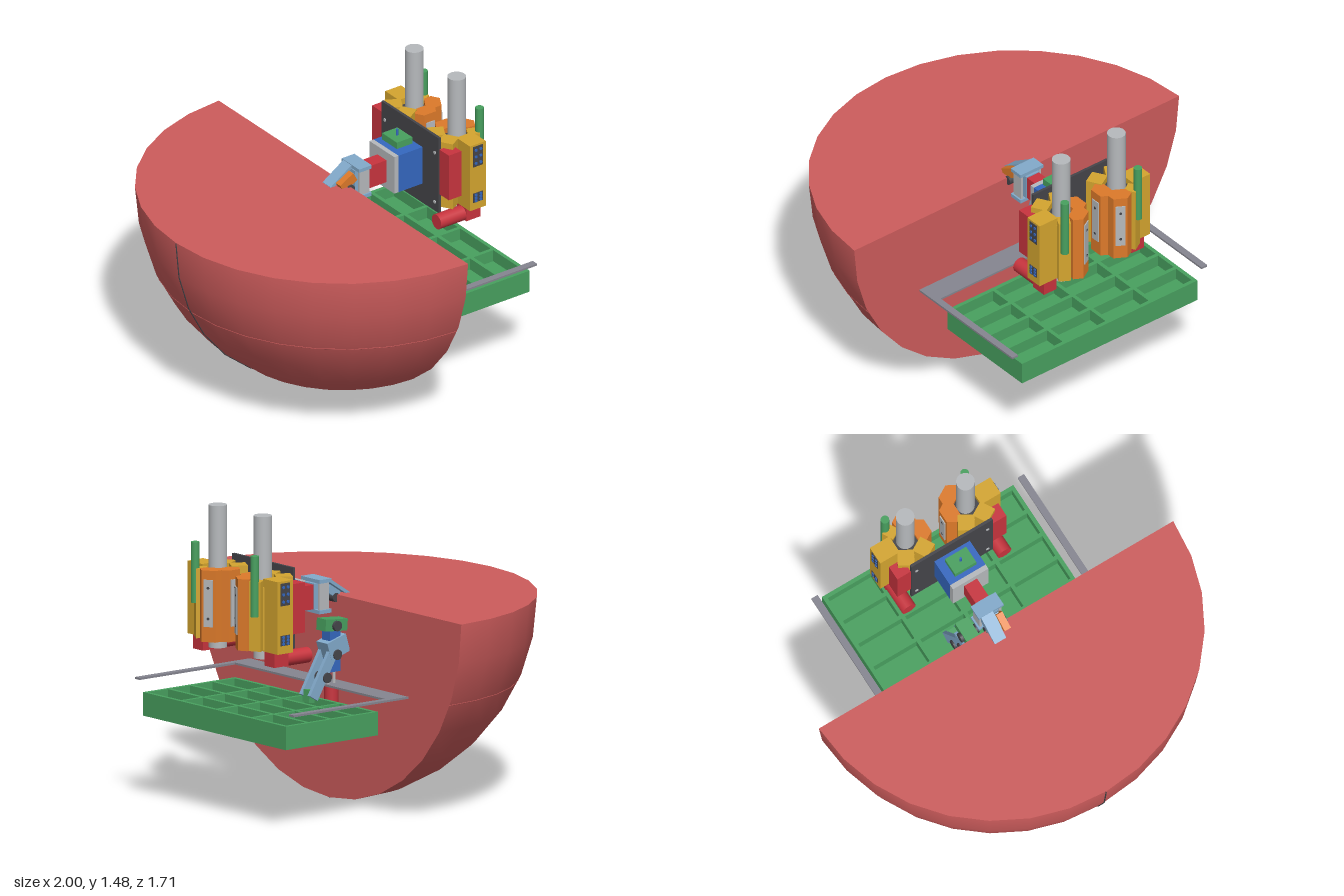
import * as THREE from 'three';

const mat = (name, color) => {
  const m = new THREE.MeshStandardMaterial({ color });
  m.name = name;
  return m;
};

export function createModel() {
  const root = new THREE.Group();
  root.name = 'harvestingStation';
  const shellRed = mat('shellRed', 0xcd5c5c), red = mat('red', 0xc8343e);
  const yellow = mat('yellow', 0xd4a52f), orange = mat('orange', 0xdd7a2a);
  const green = mat('green', 0x48a05f), blue = mat('blue', 0x3568c0);
  const paleBlue = mat('paleBlue', 0x82aacb), silver = mat('silver', 0xb6b9bc);
  const grey = mat('frameGrey', 0x868690), dark = mat('charcoal', 0x45454a);

  const add = (name, geo, m, parent = root) => {
    const mesh = new THREE.Mesh(geo, m);
    mesh.name = name;
    parent.add(mesh);
    return mesh;
  };
  // Box given by its extents on each axis
  const box = (name, m, [x0, x1], [y0, y1], [z0, z1], parent) => {
    const b = add(name, new THREE.BoxGeometry(x1 - x0, y1 - y0, z1 - z0), m, parent);
    b.position.set((x0 + x1) / 2, (y0 + y1) / 2, (z0 + z1) / 2);
    return b;
  };
  // Cylinder between two points
  const rod = (name, m, a, b, r, parent, sides = 24) => {
    const p = new THREE.Vector3(...a), q = new THREE.Vector3(...b);
    const c = add(name, new THREE.CylinderGeometry(r, r, p.distanceTo(q), sides), m, parent);
    c.position.copy(p).add(q).multiplyScalar(0.5);
    c.quaternion.setFromUnitVectors(new THREE.Vector3(0, 1, 0), q.sub(p).normalize());
    return c;
  };
  // Box tilted about the x axis
  const tilted = (name, m, size, pos, angle, parent) => {
    const b = add(name, new THREE.BoxGeometry(...size), m, parent);
    b.position.set(...pos);
    b.rotation.x = angle;
    return b;
  };

  // Quarter-sphere bowl with flat top and back
  const bowl = new THREE.Group();
  bowl.name = 'bowl';
  bowl.position.set(0, 1, -0.145);
  root.add(bowl);
  add('bowlShell', new THREE.SphereGeometry(1, 16, 8, 0, Math.PI, Math.PI / 2, Math.PI / 2), shellRed, bowl);
  const half = new THREE.CircleGeometry(1, 16, Math.PI, Math.PI);
  add('bowlTop', half.clone().rotateX(-Math.PI / 2), shellRed, bowl);
  add('bowlBack', half.clone().rotateY(Math.PI), shellRed, bowl);
  add('verticalSeam', new THREE.TorusGeometry(1, 0.004, 4, 8, Math.PI / 2)
    .rotateZ(-Math.PI / 2).rotateY(-Math.PI / 2), dark, bowl);
  add('levelSeam', new THREE.TorusGeometry(0.909, 0.003, 4, 16, Math.PI)
    .rotateX(Math.PI / 2), shellRed, bowl).position.y = -0.41;

  // U-shaped support frame
  box('frameFront', grey, [-0.6, 0.6], [0.575, 0.585], [-0.265, -0.146]);
  for (const s of [-1, 1]) {
    const x = 0.5825 * s;
    box('frameRail', grey, [x - 0.0175, x + 0.0175], [0.575, 0.585], [-0.855, -0.265]);
  }

  // Tray with a four by four grid of compartments
  box('trayFloor', green, [-0.54, 0.54], [0.405, 0.46], [-0.855, -0.285]);
  for (let i = 0; i <= 4; i++) {
    const x = -0.53 + i * 0.265, z = -0.845 + i * 0.1375;
    box('trayWallLong', green, [x - 0.01, x + 0.01], [0.45, 0.52], [-0.855, -0.285]);
    box('trayWallCross', green, [-0.54, 0.54], [0.45, 0.52], [z - 0.01, z + 0.01]);
  }

  // Two mirrored picking heads, each with modules around a column
  const wedge = new THREE.Shape();
  [[0.05, -0.035], [0.085, -0.06], [0.127, -0.035], [0.127, 0.035], [0.085, 0.06], [0.05, 0.035]]
    .forEach(([x, y], i) => (i ? wedge.lineTo(x, y) : wedge.moveTo(x, y)));
  const wedgeGeo = new THREE.ExtrudeGeometry(wedge, { depth: 0.35, bevelEnabled: false })
    .rotateX(-Math.PI / 2);
  for (const s of [-1, 1]) {
    const head = new THREE.Group();
    head.name = s > 0 ? 'leftHead' : 'rightHead';
    head.position.set(0.17 * s, 0, -0.695);
    root.add(head);
    rod('column', silver, [0, 0.78, 0], [0, 1.475, 0], 0.045, head, 32);
    rod('core', yellow, [0, 0.83, 0], [0, 1.14, 0], 0.085, head);
    rod('coreCap', dark, [0, 1.14, 0], [0, 1.148, 0], 0.075, head);
    // Module pointing outward at an angle, measured for the right head
    const module = (name, deg) => {
      const g = new THREE.Group();
      g.name = name;
      g.rotation.y = -THREE.MathUtils.degToRad(s < 0 ? deg : 180 - deg);
      head.add(g);
      return g;
    };
    for (const deg of [-60, 0]) {
      const g = module('orangeModule', deg);
      add('moduleBody', wedgeGeo, orange, g).position.y = 0.825;
      box('modulePlate', silver, [0.126, 0.132], [0.9, 1.13], [-0.024, 0.024], g);
      for (const y of [0.94, 1.09]) rod('screw', dark, [0.13, y, 0], [0.134, y, 0], 0.007, g, 10);
    }
    for (const deg of [60, 120]) {
      const g = module('yellowModule', deg);
      box('moduleBody', yellow, [0.06, 0.14], [0.825, 1.18], [-0.04, 0.04], g);
      for (const y of [0.9, 1.1]) rod('screw', dark, [0.138, y, 0], [0.143, y, 0], 0.009, g, 10);
    }
    // Large outer module with connector panels
    const g = module('outerModule', 180);
    box('moduleBody', yellow, [0.06, 0.17], [0.825, 1.18], [-0.047, 0.047], g);
    for (const [y, h] of [[1.115, 0.055], [0.89, 0.025]]) {
      box('connectorPanel', dark, [0.169, 0.173], [y - h, y + h], [-0.028, 0.028], g);
      for (const dz of [-0.014, 0.014]) for (const k of [-0.65, 0, 0.65])
        rod('connector', blue, [0.172, y + k * h, dz], [0.177, y + k * h, dz], 0.008, g, 8);
    }
    // Green canister and its bracket
    const c = module('canisterMount', 240);
    box('bracket', yellow, [0.05, 0.11], [0.83, 1.17], [-0.03, 0.03], c);
    rod('canister', green, [0.11, 1.0, 0], [0.11, 1.297, 0], 0.021, c, 16);
    // Upright and lying motors
    const x = 0.1 * s;
    box('uprightMotor', red, [x - 0.038, x + 0.038], [0.905, 1.15], [0.075, 0.15], head);
    rod('lyingMotor', red, [x, 0.785, 0.045], [x, 0.785, 0.195], 0.038, head);
    box('motorGearbox', red, [x - 0.038, x + 0.038], [0.755, 0.825], [-0.04, 0.045], head);
  }

  // Mounting plate
  box('mountingPlate', dark, [-0.23, 0.23], [0.8, 1.21], [-0.557, -0.543]);
  for (const x of [-0.2, 0.2]) for (const y of [0.85, 1.12])
    rod('plateBolt', silver, [x, y, -0.544], [x, y, -0.539], 0.009, root, 10);

  // Forward drive unit
  box('driveHousing', blue, [-0.1, 0.1], [0.905, 1.105], [-0.543, -0.4]);
  box('driveFace', silver, [-0.1, 0.1], [0.905, 1.105], [-0.4, -0.375]);
  box('valveFoot', dark, [-0.025, 0.025], [1.105, 1.117], [-0.49, -0.44]);
  box('valveBlock', green, [-0.06, 0.06], [1.117, 1.152], [-0.512, -0.42]);
  rod('valveStem', blue, [0, 1.15, -0.466], [0, 1.185, -0.466], 0.006, root, 10);
  box('wristMotor', red, [-0.036, 0.036], [0.94, 1.06], [-0.375, -0.27]);

  // Gripper
  const grip = new THREE.Group();
  grip.name = 'gripper';
  root.add(grip);
  box('gripperCore', paleBlue, [-0.04, 0.04], [0.94, 1.065], [-0.27, -0.185], grip);
  for (const y of [0.928, 1.077])
    box('gripperFlange', paleBlue, [-0.07, 0.07], [y - 0.009, y + 0.009], [-0.262, -0.187], grip);
  for (const x of [-0.055, 0.055])
    box('gripperCheek', silver, [x - 0.006, x + 0.006], [0.93, 1.075], [-0.255, -0.195], grip);
  tilted('gripperFinger', paleBlue, [0.065, 0.016, 0.15], [-0.025, 1.036, -0.13], 0.58, grip);
  tilted('fingerLink', paleBlue, [0.09, 0.04, 0.075], [-0.01, 1.015, -0.16], 0.58, grip);
  tilted('gripperPad', orange, [0.035, 0.05, 0.09], [0.032, 1.02, -0.14], 0.5, grip);
  rod('fingerPivot', dark, [-0.06, 0.985, -0.148], [0.06, 0.985, -0.148], 0.022, grip, 16);

  // Lower jointed arm
  const arm = new THREE.Group();
  arm.name = 'lowerArm';
  arm.position.x = -0.11;
  root.add(arm);
  tilted('armHead', green, [0.07, 0.058, 0.135], [0, 0.873, -0.217], 0.08, arm);
  box('armBody', blue, [-0.03, 0.03], [0.645, 0.845], [-0.255, -0.19], arm);
  tilted('armSleeve', paleBlue, [0.085, 0.09, 0.12], [0, 0.765, -0.21], -0.3, arm);
  for (const x of [-0.032, 0.032])
    tilted('armLink', paleBlue, [0.02, 0.27, 0.055], [x, 0.65, -0.295], 0.53, arm);
  for (const [y, z] of [[0.87, -0.22], [0.73, -0.22], [0.625, -0.283]])
    rod('armJoint', dark, [-0.05, y, z], [0.05, y, z], 0.025, arm, 16);
  for (const z of [-0.205, -0.24])
    rod('guideRod', silver, [0, 0.56, z], [0, 0.66, z], 0.008, arm, 10);
  rod('armMotor', red, [0, 0.485, -0.222], [0, 0.572, -0.222], 0.034, arm);
  tilted('armTip', green, [0.05, 0.06, 0.035], [0, 0.54, -0.36], 0.1, arm);

  return root;
}
